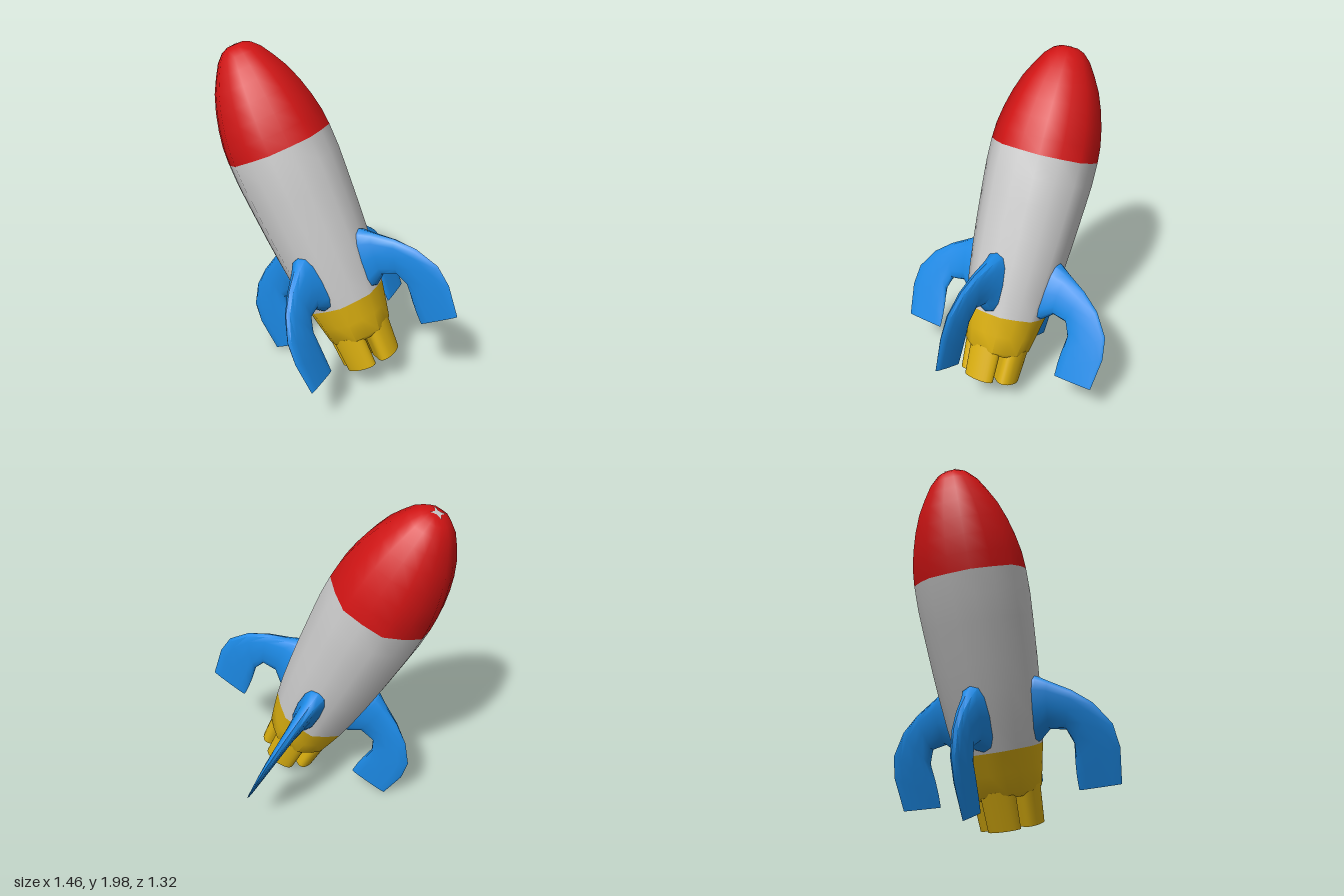
import * as THREE from 'three';
import { mergeVertices, toCreasedNormals } from 'three/addons/utils/BufferGeometryUtils.js';

const paint = (color) => new THREE.MeshStandardMaterial({ color, side: THREE.DoubleSide });
const GREY = paint(0xcccccc), RED = paint(0xd01414), YELLOW = paint(0xd9ae10), BLUE = paint(0x1c8ae6);

function add(parent, name, geometry, material) {
  const mesh = new THREE.Mesh(geometry, material);
  mesh.name = name;
  parent.add(mesh);
  return mesh;
}

// Soft eight-sided hull band from [radius, height] pairs, flats facing the fins
function hull(profile) {
  let g = new THREE.LatheGeometry(profile.map(([r, y]) => new THREE.Vector2(r, y)), 16);
  const p = g.attributes.position, n = profile.length;
  for (let k = 0; k < p.count; k++) {
    const s = Math.floor(k / n) % 2 ? 1.05 : 1;
    p.setX(k, p.getX(k) * s);
    p.setZ(k, p.getZ(k) * s);
  }
  g.deleteAttribute('uv');
  g.deleteAttribute('normal');
  g = mergeVertices(g, 1e-5);
  return toCreasedNormals(g, 0.75);
}

// Curved fin: lens-shaped sections between an outer and an inner edge
function finGeometry() {
  // outer radius, outer height, inner radius, inner height, half thickness
  const stations = [
    [0.20, 0.68, 0.17, 0.29, 0.085],
    [0.285, 0.665, 0.25, 0.31, 0.072],
    [0.345, 0.628, 0.315, 0.365, 0.05],
    [0.468, 0.557, 0.404, 0.349, 0.036],
    [0.575, 0.471, 0.435, 0.269, 0.029],
    [0.662, 0.344, 0.422, 0.166, 0.022],
    [0.681, 0.215, 0.417, 0.09, 0.016],
    [0.656, 0.018, 0.417, 0.0135, 0.007],
  ];
  const N = 12, pos = [], idx = [];
  const soft = (v) => Math.sign(v) * Math.abs(v) ** 0.75;
  for (const [ro, yo, ri, yi, t] of stations) {
    for (let j = 0; j < N; j++) {
      const a = (j / N) * Math.PI * 2, c = soft(Math.cos(a));
      pos.push((ro + ri + (ro - ri) * c) / 2, (yo + yi + (yo - yi) * c) / 2, t * soft(Math.sin(a)));
    }
  }
  const last = stations.length - 1;
  for (let i = 0; i < last; i++) {
    for (let j = 0; j < N; j++) {
      const a = i * N + j, b = i * N + (j + 1) % N;
      idx.push(a, b, a + N, b, b + N, a + N);
    }
  }
  // flat tip
  for (let j = 1; j < N - 1; j++) idx.push(last * N, last * N + j, last * N + j + 1);
  const g = new THREE.BufferGeometry();
  g.setAttribute('position', new THREE.Float32BufferAttribute(pos, 3));
  g.setIndex(idx);
  return toCreasedNormals(g, 0.8);
}

// Rounded quarter-sector outline, scaled about its middle
function lobe(target, scale) {
  const R = 0.18, at = (r, deg) => [r * Math.cos(deg * Math.PI / 180), r * Math.sin(deg * Math.PI / 180)];
  const m = ([x, y]) => [0.115 + (x - 0.115) * scale, y * scale];
  const edge = 0.018 + 0.108 * Math.SQRT1_2, side = 0.108 * Math.SQRT1_2;
  target.moveTo(...m([0.018, 0]));
  target.lineTo(...m([edge, -side]));
  target.quadraticCurveTo(...m(at(R, -40)), ...m(at(R, -22)));
  target.quadraticCurveTo(...m([R / Math.cos(22 * Math.PI / 180), 0]), ...m(at(R, 22)));
  target.quadraticCurveTo(...m(at(R, 40)), ...m([edge, side]));
  target.closePath();
  return target;
}

// Hollow nozzle that widens upward into the tail
function nozzleGeometry() {
  const shape = lobe(new THREE.Shape(), 1);
  shape.holes.push(lobe(new THREE.Path(), 0.8));
  const g = new THREE.ExtrudeGeometry(shape, { depth: 0.215, bevelEnabled: false, curveSegments: 8 });
  g.rotateX(-Math.PI / 2);
  const p = g.attributes.position;
  for (let k = 0; k < p.count; k++) {
    const y = p.getY(k), s = 1 + 0.35 * y;
    p.setXYZ(k, p.getX(k) * s, y - 0.137, p.getZ(k) * s);
  }
  return toCreasedNormals(g, 0.7);
}

export function createModel() {
  const model = new THREE.Group();
  model.name = 'rocket';
  const ship = new THREE.Group();
  ship.name = 'tiltedRocket';
  model.add(ship);

  // Hull bands
  add(ship, 'tail', hull([[0, 0.035], [0.165, 0.035], [0.19, 0.06], [0.212, 0.17], [0.235, 0.295]]), YELLOW);
  add(ship, 'body', hull([[0.235, 0.295], [0.256, 0.45], [0.272, 0.62], [0.284, 0.78], [0.297, 1.0],
    [0.304, 1.14], [0.303, 1.275]]), GREY);
  add(ship, 'noseCone', hull([[0.303, 1.275], [0.296, 1.37], [0.277, 1.47], [0.25, 1.57], [0.213, 1.67],
    [0.17, 1.75], [0.127, 1.82], [0.085, 1.862], [0.045, 1.88], [0, 1.882]]), RED);

  // Small four-pointed star at the tip of the nose
  const star = new THREE.Shape();
  for (let k = 0; k < 8; k++) {
    const a = (k + 1) * Math.PI / 4, r = k % 2 ? 0.018 : 0.048;
    star[k ? 'lineTo' : 'moveTo'](r * Math.cos(a), r * Math.sin(a));
  }
  const starMesh = add(ship, 'noseStar', new THREE.ShapeGeometry(star).rotateX(-Math.PI / 2), GREY);
  starMesh.position.y = 1.884;

  // Four fins, each above its nozzle
  const fin = finGeometry(), nozzle = nozzleGeometry();
  for (let k = 0; k < 4; k++) {
    add(ship, 'fin' + (k + 1), fin, BLUE).rotation.y = k * Math.PI / 2;
    add(ship, 'nozzle' + (k + 1), nozzle, YELLOW).rotation.y = k * Math.PI / 2;
  }

  // Lean the whole rocket
  const side = new THREE.Vector3(0.873, 0.425, -0.235).normalize();
  const front = new THREE.Vector3(0.253, 0, 0.967);
  const up = new THREE.Vector3().crossVectors(front, side).normalize();
  front.crossVectors(side, up);
  ship.quaternion.setFromRotationMatrix(new THREE.Matrix4().makeBasis(side, up, front));
  ship.position.set(0.157, 0.28, -0.017);
  return model;
}
